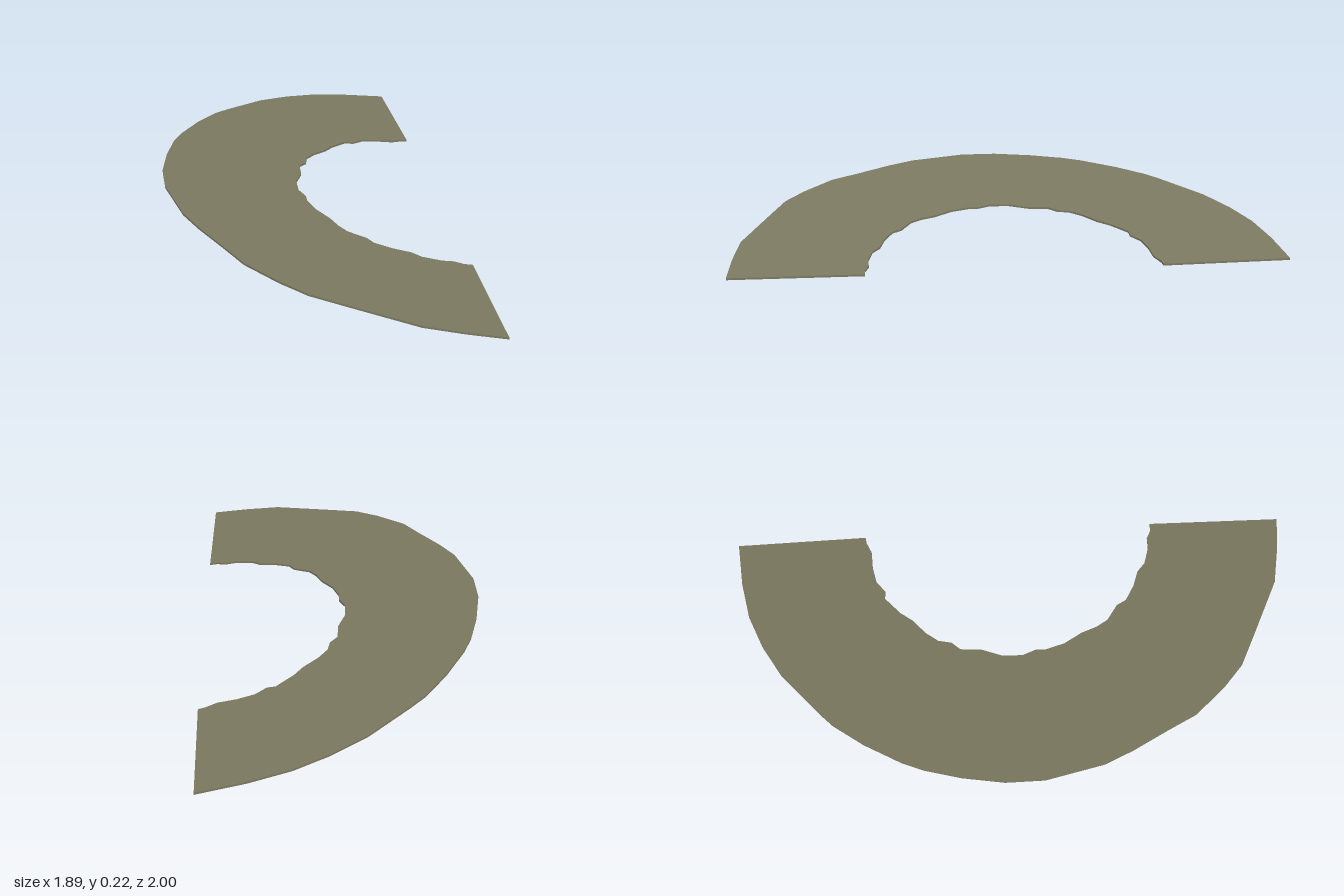
import * as THREE from 'three';

// Outer rim, [x, z] seen from above, from the back end round to the front end
const OUTER = [
  [-0.585, -1], [-0.71, -0.86], [-0.806, -0.727], [-0.87, -0.59], [-0.917, -0.437], [-0.943, -0.21],
  [-0.948, -0.13], [-0.932, 0.02], [-0.895, 0.19], [-0.864, 0.278], [-0.795, 0.415], [-0.705, 0.558],
  [-0.6, 0.675], [-0.404, 0.817], [-0.288, 0.87], [-0.14, 0.925], [-0.008, 0.977], [0.16, 0.997],
  [0.283, 0.997], [0.436, 0.957], [0.684, 0.89], [0.82, 0.812], [0.945, 0.728],
];

// Ragged inner rim, from the front end back to the back end
const INNER = [
  [0.59, 0.315], [0.563, 0.336], [0.526, 0.346], [0.489, 0.378], [0.42, 0.41], [0.37, 0.41],
  [0.304, 0.437], [0.23, 0.452], [0.188, 0.437], [0.108, 0.447], [0.055, 0.431], [-0.003, 0.4],
  [-0.087, 0.373], [-0.156, 0.33], [-0.182, 0.299], [-0.235, 0.272], [-0.288, 0.209], [-0.32, 0.124],
  [-0.372, 0.056], [-0.372, 0.008], [-0.399, -0.04], [-0.404, -0.103], [-0.394, -0.183], [-0.399, -0.246],
  [-0.388, -0.341], [-0.362, -0.362], [-0.351, -0.42], [-0.309, -0.479], [-0.256, -0.532],
  [-0.235, -0.579], [-0.218, -0.6],
];

const THICKNESS = 0.008;

// Height of the tilted plane that the underside lies in
function planeHeight(x, z) {
  const across = -0.749 * x + 0.662 * z;
  const along = 0.662 * x + 0.749 * z;
  return 0.177 * (across + 0.226) + 0.0125 * (along + 1.136);
}

export function createModel() {
  const group = new THREE.Group();
  const olive = new THREE.MeshStandardMaterial({ color: 0x7b7860 });
  olive.name = 'olive grey';

  // Flat crescent cut from a thin sheet
  const shape = new THREE.Shape([...OUTER, ...INNER].map(([x, z]) => new THREE.Vector2(x, -z)));
  const geometry = new THREE.ExtrudeGeometry(shape, { depth: THICKNESS, bevelEnabled: false });
  geometry.rotateX(-Math.PI / 2);

  // Lift it onto the tilted plane
  const p = geometry.attributes.position;
  for (let i = 0; i < p.count; i++) {
    p.setY(i, p.getY(i) + planeHeight(p.getX(i), p.getZ(i)));
  }
  geometry.computeVertexNormals();
  geometry.computeBoundingBox();
  geometry.translate(0, -geometry.boundingBox.min.y, 0);

  const plate = new THREE.Mesh(geometry, olive);
  plate.name = 'curvedPlate';
  group.add(plate);
  return group;
}
